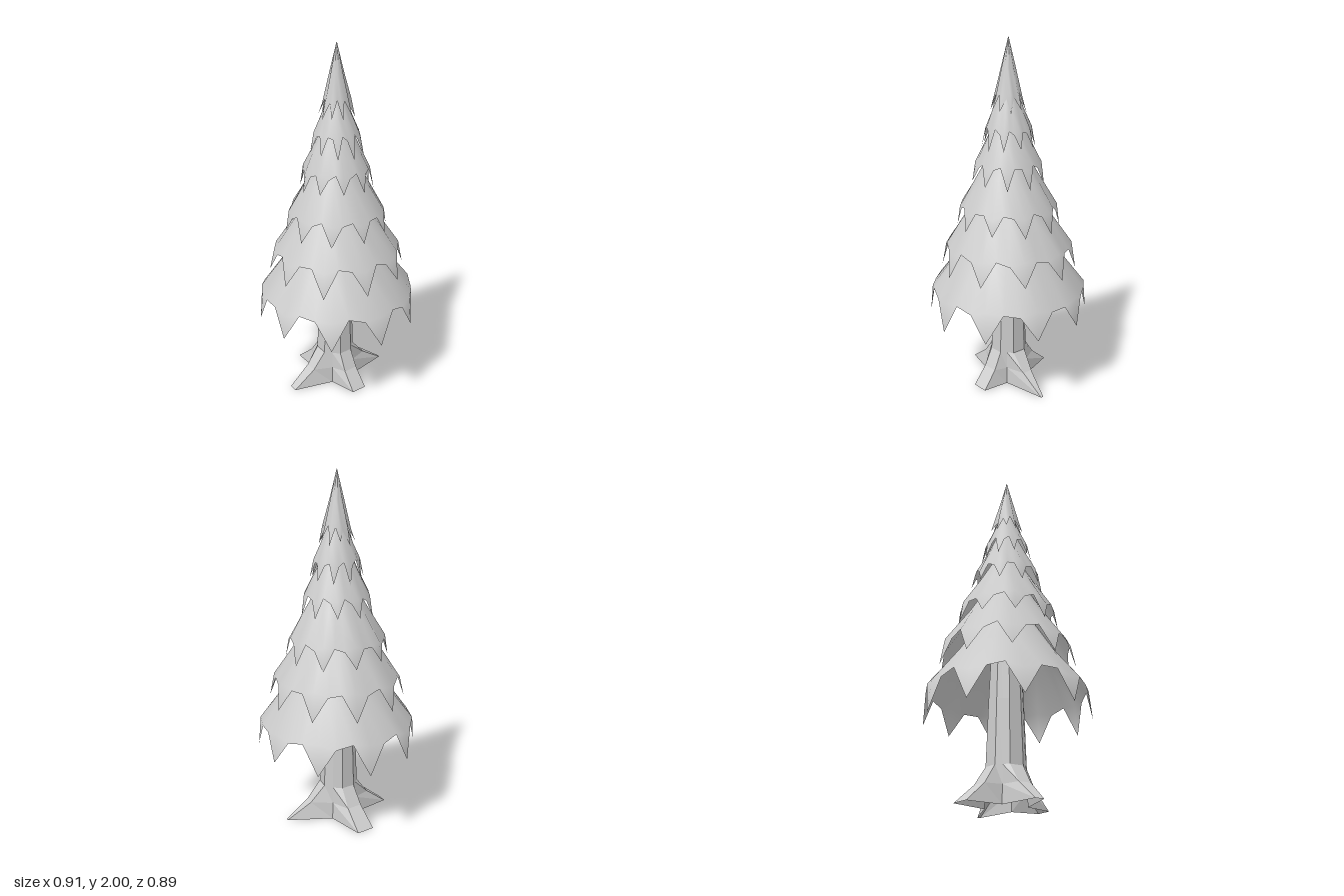
import * as THREE from 'three';

const rad = THREE.MathUtils.degToRad;
const lerp = THREE.MathUtils.lerp;
const TEETH = 10;

function makeGeometry(points, index) {
  const g = new THREE.BufferGeometry();
  g.setAttribute('position', new THREE.Float32BufferAttribute(points.flat(), 3));
  g.setIndex(index);
  g.computeVertexNormals();
  return g;
}

// Stitch consecutive rings of n points, listed from top to bottom
function stitch(index, rings, n) {
  for (let r = 0; r < rings - 1; r++) {
    for (let c = 0; c < n; c++) {
      const d = (c + 1) % n;
      const a = r * n + c, b = r * n + d, e = a + n, f = b + n;
      index.push(a, e, f, a, f, b);
    }
  }
}

// One open skirt of needles: rings [radius, y] from the top, then a pointed hem
function skirt({ rings, tip, turn, per = 3, pleat = 0.025 }) {
  const n = TEETH * per, points = [], index = [];
  const polar = (c, r, y) => {
    const a = rad(turn) + (c / n) * Math.PI * 2;
    return [Math.sin(a) * r, y, Math.cos(a) * r];
  };
  rings.forEach(([r, y], k) => {
    const hem = k === rings.length - 1;
    for (let c = 0; c < n; c++) {
      // ridges run down to the teeth; the notches are slightly uneven
      const fold = c % per === 0 ? 1 + pleat : 1;
      const lift = hem ? 0.015 * Math.sin(c * 2.3 + turn) : 0;
      points.push(polar(c, r * fold, y + lift));
    }
  });
  stitch(index, rings.length, n);
  // Hanging points
  const last = (rings.length - 1) * n;
  for (let c = 0; c < n; c += per) {
    const drop = 0.012 * Math.sin(c * 1.7 + turn);
    const t = points.push(polar(c, tip[0], tip[1] + drop)) - 1;
    index.push(last + (c + n - 1) % n, t, last + c, last + c, t, last + (c + 1) % n);
  }
  return makeGeometry(points, index);
}

// Open trunk lofted from 12 columns: two per root and one per valley between roots
function trunkGeometry() {
  const roots = [ // angle, reach, half width at the tip
    [-122, 0.285, 0.052], [-40, 0.305, 0.025], [53, 0.235, 0.045], [136, 0.325, 0.008],
  ];
  const levels = [ // y, share of root reach, trunk radius
    [1.1, 0, 0.07], [0.55, 0, 0.092], [0.2, 0, 0.103], [0.1, 0.36, 0.106], [0, 1, 0.112],
  ];
  const points = [], index = [], n = roots.length * 3;
  for (const [y, share, radius] of levels) {
    roots.forEach(([deg, reach, tipHalf], i) => {
      const a = rad(deg);
      const r = lerp(radius, reach, share);
      const half = lerp(radius * 0.38, tipHalf, share);
      for (const s of [-half, half]) {
        points.push([Math.sin(a) * r + Math.cos(a) * s, y, Math.cos(a) * r - Math.sin(a) * s]);
      }
      const next = i === roots.length - 1 ? roots[0][0] + 360 : roots[i + 1][0];
      const v = rad((deg + next) / 2);
      points.push([Math.sin(v) * radius, y, Math.cos(v) * radius]);
    });
  }
  stitch(index, levels.length, n);
  return makeGeometry(points, index);
}

export function createModel() {
  const tree = new THREE.Group();
  tree.name = 'pineTree';

  const needles = new THREE.MeshStandardMaterial({ color: 0xcccccc, side: THREE.DoubleSide });
  const bark = new THREE.MeshStandardMaterial({
    color: 0xcccccc, flatShading: true, side: THREE.DoubleSide,
  });

  const trunk = new THREE.Mesh(trunkGeometry(), bark);
  trunk.name = 'trunkWithRoots';
  trunk.position.x = -0.01;
  tree.add(trunk);

  // Foliage tiers from bottom to top
  const tiers = [
    { rings: [[0.09, 1.12], [0.28, 0.82], [0.436, 0.61]], tip: [0.455, 0.45], turn: 12, pleat: 0.01 },
    { rings: [[0.06, 1.33], [0.215, 1.07], [0.35, 0.865]], tip: [0.385, 0.73], turn: 5 },
    { rings: [[0.04, 1.49], [0.165, 1.265], [0.265, 1.09]], tip: [0.288, 0.98], turn: 10 },
    { rings: [[0.03, 1.66], [0.123, 1.455], [0.182, 1.33]], tip: [0.205, 1.23], turn: -10 },
    { rings: [[0.02, 1.79], [0.085, 1.62], [0.125, 1.52]], tip: [0.15, 1.42], turn: 18 },
    { rings: [[0.001, 2], [0.032, 1.85], [0.064, 1.7]], tip: [0.098, 1.62], turn: 0, per: 2, pleat: 0.2 },
  ];
  tiers.forEach((tier, i) => {
    const mesh = new THREE.Mesh(skirt(tier), needles);
    mesh.name = `foliageTier${i + 1}`;
    tree.add(mesh);
  });
  return tree;
}
